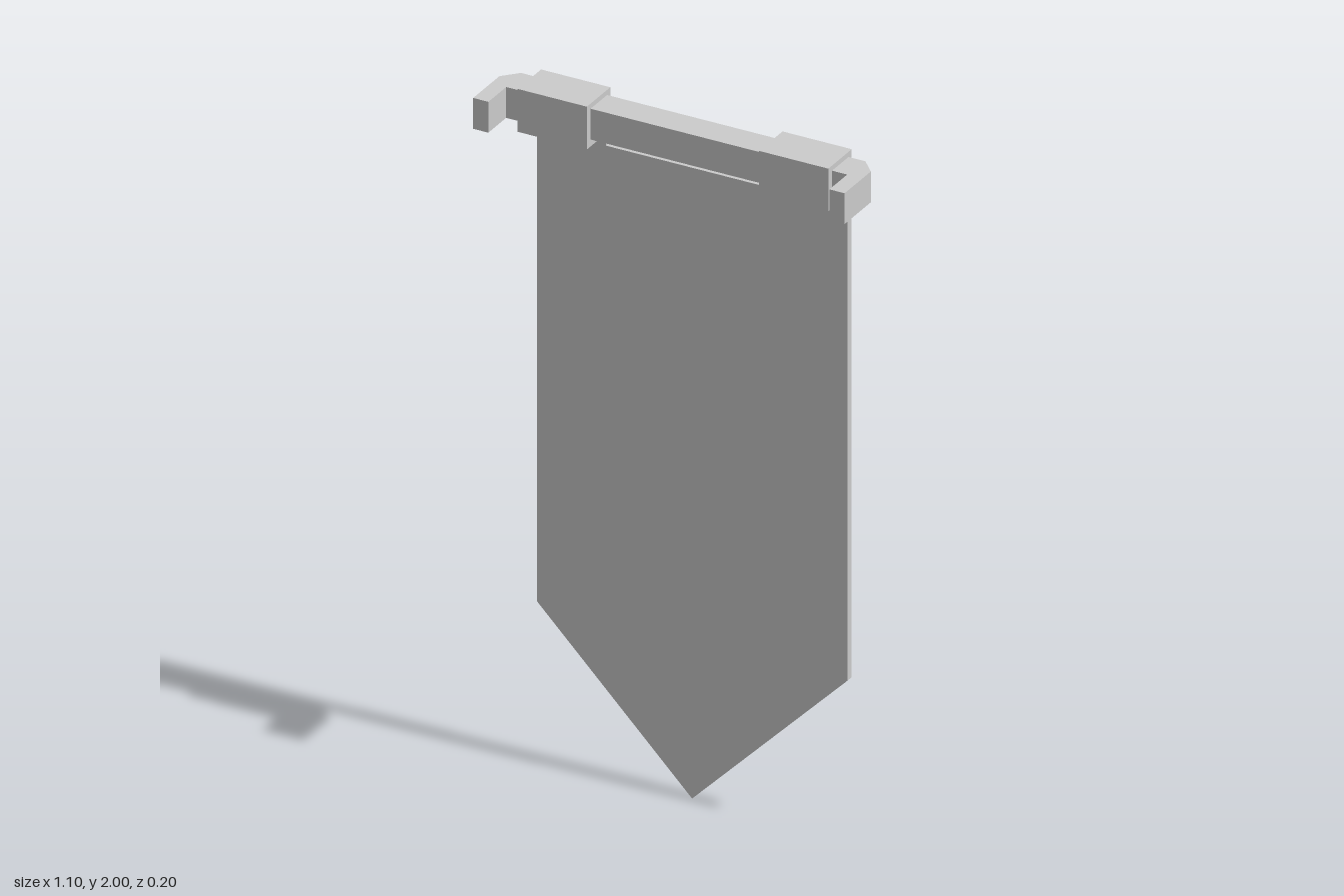
import * as THREE from 'three';

const BACK = -0.1, FLOOR = -0.09, FRONT = -0.077;

export function createModel() {
  const group = new THREE.Group();
  const material = new THREE.MeshStandardMaterial({ color: 0xcccccc, flatShading: true });

  const add = (name, geometry) => {
    const mesh = new THREE.Mesh(geometry, material);
    mesh.name = name;
    group.add(mesh);
    return mesh;
  };
  // Full outline from its right half, listed from top to bottom
  const mirrored = (half) => {
    const other = half.filter(([x]) => x !== 0).reverse().map(([x, y]) => [-x, y]);
    return [...half, ...other].map(([x, y]) => new THREE.Vector2(x, y));
  };
  const slab = (name, points, z0, z1, holes = []) => {
    const shape = new THREE.Shape(points);
    shape.holes = holes.map((h) => new THREE.Path(h));
    const geometry = new THREE.ExtrudeGeometry(shape, { depth: z1 - z0, bevelEnabled: false });
    return add(name, geometry.translate(0, 0, z0));
  };
  // Four-pointed star
  const star = (cx, cy, r, inner) => Array.from({ length: 8 }, (_, i) => {
    const a = (i * Math.PI) / 4, d = i % 2 ? inner : r;
    return new THREE.Vector2(cx + d * Math.cos(a), cy + d * Math.sin(a));
  });

  // Cloth: plain front layer, and a back frame around a sunken panel
  const outline = mirrored([[0.255, 1.84], [0.255, 2], [0.46, 2], [0.46, 0.46], [0, 0]]);
  const panel = mirrored([[0.355, 1.7], [0.355, 0.51], [0, 0.155]]);
  slab('cloth', outline, FLOOR, FRONT);
  slab('clothBorder', outline, BACK, FLOOR, [panel]);

  // Raised ornaments on the back panel
  slab('topOrnament', mirrored([[0.25, 1.6], [0.25, 1.45], [0.1, 1.55]]), BACK, FLOOR);
  slab('upperChevron', mirrored([[0.1, 0.855], [0.25, 0.957], [0.25, 0.81], [0, 0.657]]), BACK, FLOOR);
  slab('lowerChevron', mirrored([[0, 0.504], [0.25, 0.707], [0.25, 0.557], [0, 0.308]]), BACK, FLOOR);

  // Octagonal medallion with cut-out stars
  slab('medallion', mirrored([[0.104, 1.45], [0.25, 1.304], [0.25, 1.096], [0.104, 0.95]]), BACK, FLOOR, [
    star(0, 1.255, 0.163, 0.062),
    star(0.11, 1.086, 0.08, 0.03),
    star(-0.11, 1.086, 0.08, 0.03),
  ]);

  // Loops of cloth around the rod
  for (const [name, side] of [['leftLoop', 1], ['rightLoop', -1]]) {
    const loop = add(name, new THREE.BoxGeometry(0.205, 0.125, 0.025 - FRONT));
    loop.position.set(side * 0.3575, 1.9375, (0.025 + FRONT) / 2);
  }

  // Square rod with chamfered corners and ends bent forward
  const rodPath = mirrored([
    [0.505, 0.005], [0.505, 0.1], [0.55, 0.1], [0.55, -0.04], [0.51, -0.083],
  ]);
  const rod = new THREE.ExtrudeGeometry(new THREE.Shape(rodPath), { depth: 0.09, bevelEnabled: false });
  add('rod', rod.rotateX(Math.PI / 2)).position.y = 1.985;

  return group;
}
